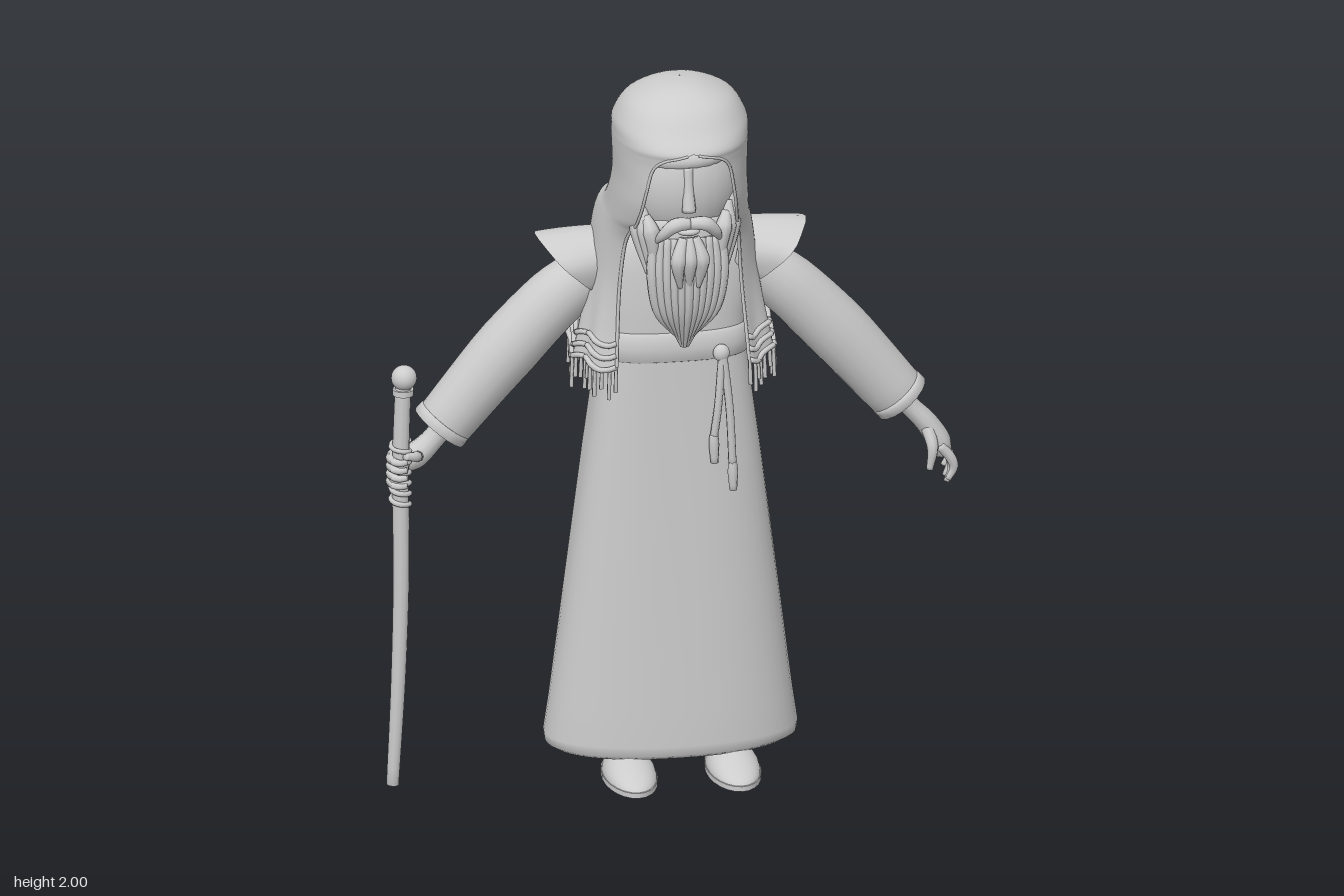
import * as THREE from 'three';
import { mergeVertices } from 'three/addons/utils/BufferGeometryUtils.js';

const stone = new THREE.MeshStandardMaterial({ color: 0xcccccc, side: THREE.DoubleSide });
stone.name = 'stone grey';
const V = (x, y, z) => new THREE.Vector3(x, y, z);
const PI = Math.PI;
const power = (c, e) => Math.sign(c) * Math.abs(c) ** e;

// Smooth sheet from a rule f(u, v) -> Vector3
function sheet(nu, nv, f) {
  const pos = [], idx = [];
  for (let j = 0; j <= nv; j++)
    for (let i = 0; i <= nu; i++) pos.push(...f(i / nu, j / nv).toArray());
  for (let j = 0; j < nv; j++)
    for (let i = 0; i < nu; i++) {
      const a = j * (nu + 1) + i, b = a + 1, c = a + nu + 1, d = c + 1;
      idx.push(a, c, b, b, c, d);
    }
  let g = new THREE.BufferGeometry();
  g.setAttribute('position', new THREE.Float32BufferAttribute(pos, 3));
  g.setIndex(idx);
  g = mergeVertices(g, 1e-5);
  g.computeVertexNormals();
  return g;
}

// Interpolated rows of numbers, t in 0..1
function table(rows) {
  const it = new THREE.CubicInterpolant(rows.map((_, i) => i), new Float32Array(rows.flat()), rows[0].length);
  return t => Array.from(it.evaluate(Math.min(t, 0.99999) * (rows.length - 1)));
}

// Tapered round limb along a path; flat scales the z thickness
function limb(points, radii, { flat = 1, sides = 10, steps = 14, capped = true } = {}) {
  const curve = new THREE.CatmullRomCurve3(points.map(p => V(...p)));
  const n = radii.length - 1;
  return sheet(sides, steps + 2, (u, v) => {
    const k = Math.round(v * (steps + 2));
    const t = Math.min(Math.max((k - 1) / steps, 0), 1);
    const i = Math.min(Math.floor(t * n), n - 1);
    let r = THREE.MathUtils.lerp(radii[i], radii[i + 1], t * n - i);
    if (k === 0 || k === steps + 2) r *= capped ? 0 : 0.9;
    const p = curve.getPoint(t), tan = curve.getTangent(t);
    const ref = Math.abs(tan.z) > 0.9 ? V(0, 1, 0) : V(0, 0, 1);
    const a = ref.clone().cross(tan).normalize(), b = tan.clone().cross(a);
    const off = a.multiplyScalar(r * Math.cos(u * 2 * PI)).add(b.multiplyScalar(r * Math.sin(u * 2 * PI)));
    off.z *= flat;
    return p.add(off);
  });
}

export function createModel() {
  const model = new THREE.Group();
  const add = (name, geo) => {
    const m = new THREE.Mesh(geo, stone);
    m.name = name;
    model.add(m);
    return m;
  };
  const ball = (name, p, s) => {
    const m = add(name, new THREE.SphereGeometry(1, 24, 16));
    m.position.set(...p);
    m.scale.set(...s);
    return m;
  };

  // Robe: rows of y, half width, centre z, half depth, squareness
  const ring = ([y, rx, zc, rz, e], u) =>
    V(0.004 + rx * power(Math.sin(u * 2 * PI), e), y, zc + rz * power(Math.cos(u * 2 * PI), e));
  const loft = rows => sheet(48, rows.length - 1, (u, v) => ring(rows[Math.round(v * (rows.length - 1))], u));
  add('robeSkirt', loft([[1.2, 0.192, -0.09, 0.122, 0.62], [0.9, 0.233, -0.095, 0.132, 0.7], [0.5, 0.284, -0.1, 0.15, 0.8],
    [0.2, 0.322, -0.103, 0.165, 0.87], [0.1, 0.337, -0.104, 0.171, 0.9], [0.075, 0.334, -0.104, 0.169, 0.9],
    [0.063, 0.315, -0.104, 0.158, 0.9], [0.085, 0.29, -0.104, 0.145, 0.9]]));
  add('robeTop', loft([[1.56, 0.05, -0.06, 0.05, 0.8], [1.53, 0.12, -0.08, 0.08, 0.8], [1.49, 0.2, -0.085, 0.1, 0.8],
    [1.42, 0.215, -0.085, 0.11, 0.75], [1.3, 0.195, -0.085, 0.115, 0.7], [1.18, 0.19, -0.09, 0.115, 0.65]]));
  add('belt', loft([[1.26, 0.188, -0.09, 0.115, 0.65], [1.252, 0.2, -0.09, 0.128, 0.65], [1.215, 0.203, -0.09, 0.131, 0.65],
    [1.18, 0.2, -0.09, 0.128, 0.65], [1.172, 0.186, -0.09, 0.115, 0.65]]));

  // Belt cord with two hanging ends
  ball('beltKnot', [0.114, 1.2, 0.045], [0.022, 0.024, 0.018]);
  for (const [x, y] of [[0.094, 0.89], [0.144, 0.81]]) {
    add('beltCord', limb([[0.116, 1.21, 0.05], [x * 0.6 + 0.048, 1.05, 0.05], [x, y + 0.07, 0.045]], [0.011, 0.011], { sides: 7 }));
    add('cordTassel', limb([[x, y + 0.08, 0.045], [x + 0.002, y, 0.045]], [0.011, 0.014, 0.01], { sides: 8, steps: 6 }));
  }

  // Hooded shawl: y, half width, centre z, front depth, back depth, opening angle
  const shawlRow = table([
    [2.0, 0.002, 0.06, 0.002, 0.002, 0], [1.99, 0.065, 0.06, 0.075, 0.065, 0], [1.955, 0.138, 0.06, 0.14, 0.12, 0],
    [1.9, 0.174, 0.06, 0.185, 0.162, 0], [1.862, 0.178, 0.06, 0.216, 0.174, 0], [1.84, 0.178, 0.06, 0.214, 0.177, 0.36],
    [1.81, 0.177, 0.06, 0.21, 0.18, 0.55], [1.75, 0.175, 0.06, 0.21, 0.18, 0.66], [1.69, 0.18, 0.05, 0.208, 0.192, 0.71],
    [1.63, 0.187, 0.02, 0.2, 0.21, 0.72], [1.595, 0.196, -0.01, 0.185, 0.255, 0.72], [1.54, 0.208, -0.03, 0.165, 0.25, 0.72],
    [1.42, 0.225, -0.045, 0.15, 0.222, 0.7], [1.3, 0.245, -0.05, 0.155, 0.207, 0.66], [1.195, 0.264, -0.05, 0.17, 0.203, 0.62]]);
  const shawlPoint = (u, v, grow = 0) => {
    const [y, rx, zc, f, b, gap] = shawlRow(v);
    const g = Math.max(gap, 0), th = g + u * 2 * (PI - g);
    const cos = Math.cos(th), back = Math.max(0, -cos);
    const e = THREE.MathUtils.lerp(0.86, 0.75, THREE.MathUtils.smoothstep(1.7 - y, 0, 0.12));
    const c = power(cos, cos > 0 ? 0.95 : e), s = power(Math.sin(th), e);
    const w = THREE.MathUtils.smoothstep(1.5 - y, 0, 0.3);
    const hem = 0.1 * back ** 4 + (0.025 + 0.045 * back) * Math.abs(Math.sin(th * 4))
      - 0.015 - 0.045 * back * Math.sin(th * 2) ** 2;
    const fold = 1 + w * 0.025 * Math.sin(th * 12) + grow;
    return V(rx * s * fold, y + w * hem, zc + (c > 0 ? f : b) * c * fold);
  };
  add('hoodedShawl', sheet(72, 70, (u, v) => shawlPoint(1 - u, v)));
  // Rolled borders along the hem and the opening
  for (const v of [0.955, 0.978, 1]) {
    const pts = Array.from({ length: 49 }, (_, i) => shawlPoint(i / 48, v, 0.015).toArray());
    add('shawlHemRoll', limb(pts, [0.008, 0.008], { sides: 6, steps: 96 }));
  }
  for (const u of [0, 1]) {
    const pts = Array.from({ length: 30 }, (_, i) => shawlPoint(u, 0.3 + 0.7 * i / 29).toArray());
    add('shawlEdge', limb(pts, [0.004, 0.005], { sides: 6, steps: 58 }));
  }
  // Fringe
  for (let i = 0; i <= 56; i++) {
    const p = shawlPoint(i / 56, 1, 0.01), len = 0.07 + 0.02 * Math.sin(i * 2.3);
    add('fringe', limb([[p.x, p.y, p.z], [p.x * 1.01, p.y - len, p.z]], [0.005, 0.006], { sides: 5, steps: 2 }));
  }

  // Head and face
  ball('head', [0, 1.725, 0.07], [0.155, 0.18, 0.135]);
  ball('brow', [0, 1.805, 0.12], [0.12, 0.045, 0.08]);
  add('neck', limb([[0, 1.48, -0.05], [0, 1.65, 0.04]], [0.08, 0.075]));
  add('nose', limb([[0, 1.79, 0.188], [0, 1.73, 0.198], [0, 1.672, 0.208]], [0.014, 0.014, 0.019]));
  ball('mouth', [0, 1.615, 0.2], [0.03, 0.012, 0.02]);

  // Beard: core, long strands, chin tuft, sideburns and moustache
  add('beardCore', limb([[0, 1.63, 0.14], [0, 1.5, 0.155], [0, 1.38, 0.155], [0, 1.265, 0.14]],
    [0.1, 0.095, 0.068, 0.012], { flat: 0.45, sides: 16 }));
  for (let i = -5; i <= 5; i++) {
    const x = i * 0.018, d = 0.02 * (1 - Math.abs(i) / 5);
    add('beardStrand', limb([[x, 1.59, 0.18 + d], [x * 1.05, 1.49, 0.185 + d], [x * 0.85, 1.38, 0.172 + d],
      [x * 0.3, 1.265 + Math.abs(x) * 0.4, 0.145]], [0.013, 0.016, 0.014, 0.004], { sides: 7 }));
  }
  for (const x of [-0.024, 0, 0.024])
    add('chinTuft', limb([[x * 0.6, 1.6, 0.21], [x * 1.3, 1.54, 0.225], [x, 1.46, 0.21]], [0.014, 0.022, 0.006], { sides: 8 }));
  for (const s of [-1, 1]) {
    add('moustache', limb([[0, 1.645, 0.222], [s * 0.04, 1.645, 0.228], [s * 0.07, 1.615, 0.215], [s * 0.088, 1.58, 0.185]],
      [0.016, 0.02, 0.015, 0.004]));
    for (let k = 0; k < 3; k++)
      add('sideburn', limb([[s * (0.12 - k * 0.006), 1.7 - k * 0.025, 0.13 + k * 0.015], [s * (0.125 - k * 0.014), 1.61, 0.15 + k * 0.015],
        [s * (0.105 - k * 0.012), 1.49 - k * 0.02, 0.17]], [0.012, 0.024, 0.005], { sides: 8 }));
  }

  for (const s of [-1, 1]) {
    // Flared shoulder cap, slightly faceted along its rim
    add('shoulderCap', sheet(24, 6, (u, v) => {
      const a = -s * u * 2 * PI, r = 0.08 + 0.028 * v ** 1.3 + 0.005 * v * Math.cos(a * 5);
      const tilt = 0.2 + v * 0.58, c = Math.cos(a) * r;
      return V(s * (0.16 + 0.122 * v + c * Math.sin(tilt)), 1.452 - 0.012 * v + c * Math.cos(tilt), -0.082 + Math.sin(a) * r * 1.06);
    }));
    // Sleeve with a turned cuff
    add('sleeve', limb([[s * 0.2, 1.42, -0.075], [s * 0.3, 1.345, -0.075], [s * 0.44, 1.198, -0.078], [s * 0.612, 0.99, -0.082]],
      [0.068, 0.082, 0.087, 0.077], { capped: false, sides: 18, flat: 0.92 }));
    add('cuff', limb([[s * 0.598, 1.01, -0.082], [s * 0.616, 0.988, -0.082]], [0.078, 0.08], { capped: false, sides: 18, steps: 2 }));
    // Leg and sandalled foot
    const x = s * 0.138 + 0.012;
    add('leg', limb([[x, 0.3, -0.09], [x, 0.15, -0.09], [x, 0.03, -0.075]], [0.055, 0.05, 0.046]));
    const foot = ball('foot', [x, 0.012, 0.015], [0.07, 0.062, 0.145]);
    const fp = foot.geometry.attributes.position;
    for (let i = 0; i < fp.count; i++)
      fp.setY(i, Math.max(fp.getY(i), 0) * (1 - 0.55 * Math.max(fp.getZ(i), 0)));
    foot.geometry.computeVertexNormals();
    const sole = add('sole', new THREE.CylinderGeometry(1, 1, 0.014, 24));
    sole.position.set(x, 0.008, 0.015);
    sole.scale.set(0.072, 1, 0.148);
    const strap = add('ankleStrap', new THREE.TorusGeometry(0.05, 0.008, 6, 18));
    strap.position.set(x, 0.09, -0.085);
    strap.rotation.x = PI / 2;
  }

  // Open left hand
  add('leftHand', limb([[0.58, 1.03, -0.08], [0.635, 0.965, -0.082], [0.68, 0.915, -0.085], [0.715, 0.86, -0.085], [0.728, 0.825, -0.085]],
    [0.03, 0.027, 0.03, 0.032, 0.024], { sides: 12, flat: 1.45 }));
  for (let k = 0; k < 4; k++) {
    const z = -0.05 - k * 0.025, d = [0.015, 0, 0.006, 0.025][k];
    add('leftFinger', limb([[0.712, 0.86, z], [0.742, 0.82, z], [0.75, 0.785 + d / 2, z - 0.002], [0.735, 0.745 + d, z - 0.003]],
      [0.014, 0.0135, 0.012, 0.008], { sides: 8 }));
  }
  add('leftThumb', limb([[0.68, 0.91, -0.06], [0.69, 0.86, -0.03], [0.682, 0.8, -0.03]], [0.018, 0.015, 0.009], { sides: 8 }));

  // Staff with knob and grip winding
  const sz = -0.03;
  add('staff', limb([[-0.72, 1.14, sz], [-0.727, 0.9, sz], [-0.725, 0.6, sz], [-0.733, 0.3, sz], [-0.748, 0.008, sz]],
    [0.022, 0.023, 0.022, 0.02, 0.017], { steps: 24 }));
  ball('staffKnob', [-0.718, 1.157, sz], [0.034, 0.034, 0.034]);
  add('knobCollar', new THREE.CylinderGeometry(0.028, 0.028, 0.016, 16)).position.set(-0.72, 1.118, sz);
  const coil = Array.from({ length: 49 }, (_, i) => {
    const a = i / 48 * 12 * PI;
    return V(-0.728 + 0.025 * Math.cos(a), 0.8 + 0.18 * i / 48, sz + 0.025 * Math.sin(a));
  });
  add('gripWinding', new THREE.TubeGeometry(new THREE.CatmullRomCurve3(coil), 110, 0.007, 6));

  // Right hand closed round the staff
  add('rightHand', limb([[-0.58, 1.03, -0.08], [-0.635, 0.955, -0.082], [-0.68, 0.915, -0.08], [-0.715, 0.9, -0.075]],
    [0.032, 0.03, 0.036, 0.03], { sides: 12 }));
  for (let k = 0; k < 4; k++) {
    const y = 0.935 - k * 0.022;
    add('rightFinger', limb([[-0.705, y, -0.08], [-0.74, y - 0.002, -0.065], [-0.755, y - 0.005, -0.03], [-0.738, y - 0.008, -0.002], [-0.715, y - 0.008, -0.003]],
      [0.013, 0.012, 0.011, 0.01, 0.008], { sides: 8 }));
  }
  add('rightThumb', limb([[-0.675, 0.92, -0.06], [-0.69, 0.935, -0.02], [-0.72, 0.945, -0.002]], [0.016, 0.014, 0.01], { sides: 8 }));

  return model;
}
